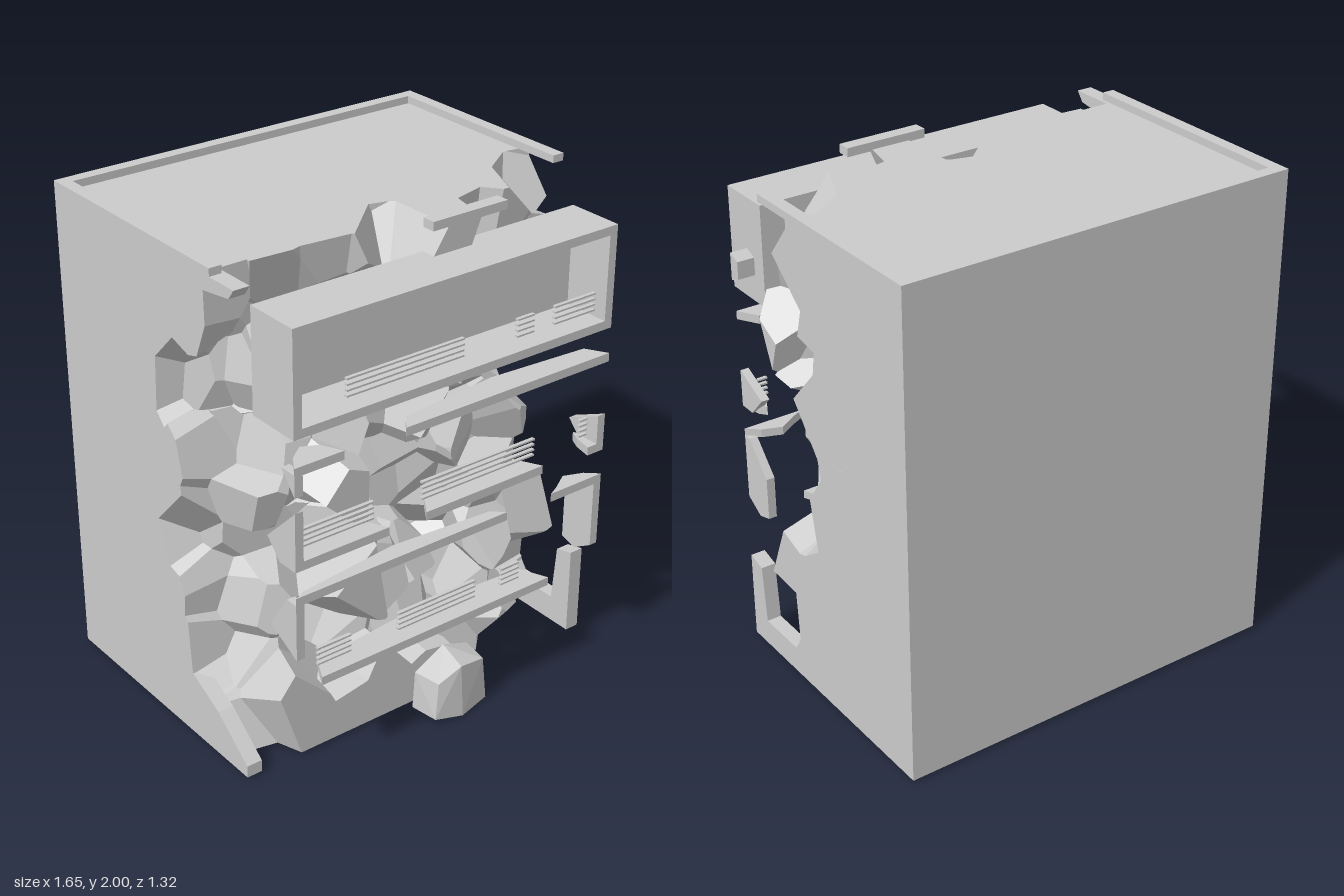
import * as THREE from 'three';
import { mergeGeometries } from 'three/addons/utils/BufferGeometryUtils.js';
import { ConvexGeometry } from 'three/addons/geometries/ConvexGeometry.js';

const V = (x, y, z) => new THREE.Vector3(x, y, z);
const MIN = V(-0.835, 0.01, -0.3), MAX = V(0.82, 1.97, 0.48);

function seeded(seed) {
  return () => (seed = (seed * 16807) % 2147483647) / 2147483647;
}

// Convex cell of one seed: space nearer to it than to its neighbours, cut by the block
function cellGeometry(seed, seeds) {
  const planes = [
    [V(1, 0, 0), MAX.x], [V(-1, 0, 0), -MIN.x], [V(0, 1, 0), MAX.y],
    [V(0, -1, 0), -MIN.y], [V(0, 0, 1), MAX.z], [V(0, 0, -1), -MIN.z],
  ];
  const near = seeds.filter((s) => s !== seed)
    .sort((a, b) => a.distanceToSquared(seed) - b.distanceToSquared(seed)).slice(0, 24);
  for (const s of near) {
    const n = s.clone().sub(seed).normalize();
    planes.push([n, n.dot(s.clone().add(seed).multiplyScalar(0.5))]);
  }
  const points = [];
  const bc = V(0, 0, 0), ca = V(0, 0, 0), ab = V(0, 0, 0);
  for (let i = 0; i < planes.length; i++) for (let j = i + 1; j < planes.length; j++) {
    ab.crossVectors(planes[i][0], planes[j][0]);
    for (let k = j + 1; k < planes.length; k++) {
      const det = ab.dot(planes[k][0]);
      if (Math.abs(det) < 1e-5) continue;
      bc.crossVectors(planes[j][0], planes[k][0]);
      ca.crossVectors(planes[k][0], planes[i][0]);
      const p = bc.clone().multiplyScalar(planes[i][1]).addScaledVector(ca, planes[j][1])
        .addScaledVector(ab, planes[k][1]).divideScalar(det);
      if (planes.every(([n, d]) => n.dot(p) < d + 1e-6)
        && !points.some((q) => q.distanceToSquared(p) < 1e-7)) points.push(p);
    }
  }
  return points.length > 3 ? new ConvexGeometry(points) : null;
}

// How far forward the broken front still stands
function breakDepth(x, y) {
  if (y > 1.74) return x > 0 && x < 0.3 ? 0.38 : x > 0.66 ? 0.22 : 0.3;
  if (x > 0.66) return y < 0.6 ? 0.12 : 0;
  if (x < -0.66) return y < 0.3 ? 0.28 : y > 0.95 && y < 1.3 ? -0.1 : 0.06;
  if (y < 0.25) return 0.41;
  return 0.27 + 0.08 * Math.sin(x * 9 + y * 5) + 0.05 * Math.sin(y * 11 - x * 4);
}

export function createModel() {
  const model = new THREE.Group();
  const material = new THREE.MeshStandardMaterial({ color: 0xcccccc, flatShading: true });

  function add(name, geometry, parent = model) {
    const mesh = new THREE.Mesh(geometry, material);
    mesh.name = name;
    parent.add(mesh);
    return mesh;
  }
  // Box given by its limits
  function box(name, x0, x1, y0, y1, z0, z1, parent) {
    const g = new THREE.BoxGeometry(x1 - x0, y1 - y0, z1 - z0);
    g.translate((x0 + x1) / 2, (y0 + y1) / 2, (z0 + z1) / 2);
    return add(name, g, parent);
  }
  // Flat upright piece with a broken [z, y] outline, from x0 to x1
  function brokenPost(name, x0, x1, outline, parent) {
    const shape = new THREE.Shape(outline.map(([z, y]) => new THREE.Vector2(z, y)));
    const g = new THREE.ExtrudeGeometry(shape, { depth: x1 - x0, bevelEnabled: false });
    g.rotateY(-Math.PI / 2).translate(x1, 0, 0);
    return add(name, g, parent);
  }
  // Flat bar piece with slanting broken ends, from y0 to y1
  function brokenBar(name, x0, x1, y0, y1, zBack, parent) {
    const slant = Math.min(0.05, (x1 - x0) * 0.2);
    const shape = new THREE.Shape([
      [x0, -0.655], [x1, -0.655], [x1 - slant, -(zBack + 0.03)],
      [(x0 + x1) / 2, -zBack], [x0 + slant, -(zBack + 0.05)],
    ].map(([x, y]) => new THREE.Vector2(x, y)));
    const g = new THREE.ExtrudeGeometry(shape, { depth: y1 - y0, bevelEnabled: false });
    g.rotateX(-Math.PI / 2).translate(0, y0, 0);
    return add(name, g, parent);
  }
  // Four thin slats across each span
  function slats(y, spans, parent) {
    for (const [x0, x1] of spans)
      for (let i = 0; i < 4; i++)
        box('slat', x0, x1, y + i * 0.022, y + i * 0.022 + 0.007, 0.59, 0.605, parent);
  }

  // Intact rear of the building and roof rim
  box('buildingBlock', MIN.x, MAX.x, MIN.y, MAX.y, -0.66, MIN.z);
  box('rearRoofRim', MIN.x, MAX.x, 1.97, 2, -0.66, -0.61);
  box('rightRoofRim', MIN.x, -0.785, 1.97, 2, -0.61, 0.34);
  box('leftRoofRim', 0.77, MAX.x, 1.97, 2, -0.61, 0.25);
  box('frontRoofRimPiece', 0, 0.34, 1.965, 2, 0.425, 0.48);

  // Fractured front made of convex chunks
  const random = seeded(4711);
  const seeds = [];
  const jitter = (amount) => (random() - 0.5) * amount;
  for (let i = 0; i < 8; i++) for (let j = 0; j < 9; j++) for (let k = 0; k < 4; k++) {
    seeds.push(V(-0.73 + i * 0.207 + jitter(0.2), 0.12 + j * 0.217 + jitter(0.2),
      -0.14 + k * 0.18 + jitter(0.13)));
  }
  const chunks = seeds.filter((s) => s.z < Math.max(-0.07, breakDepth(s.x, s.y)))
    .map((s) => cellGeometry(s, seeds)).filter(Boolean);
  add('fracturedFront', mergeGeometries(chunks));

  // Whole top balcony box
  const top = new THREE.Group();
  top.name = 'topBalcony';
  model.add(top);
  box('balconyBack', -0.73, 0.72, 1.46, 1.87, 0.42, 0.455, top);
  box('balconyTop', -0.73, 0.72, 1.835, 1.87, 0.455, 0.655, top);
  box('balconyBottom', -0.73, 0.72, 1.46, 1.495, 0.455, 0.655, top);
  box('balconyRightSide', -0.73, -0.695, 1.495, 1.835, 0.455, 0.655, top);
  box('balconyLeftSide', 0.685, 0.72, 1.495, 1.835, 0.455, 0.655, top);
  slats(1.52, [[-0.47, 0.05], [0.3, 0.38], [0.48, 0.68]], top);

  // Remains of the middle balcony
  const middle = new THREE.Group();
  middle.name = 'middleBalcony';
  model.add(middle);
  for (const [x0, x1] of [[-0.73, -0.52], [-0.25, 0.72]])
    brokenBar('topBarPiece', x0, x1, 1.32, 1.355, 0.54, middle);
  for (const [x0, x1] of [[-0.73, -0.32], [-0.15, 0.41], [0.64, 0.72]])
    brokenBar('bottomBarPiece', x0, x1, 0.945, 0.98, 0.53, middle);
  brokenPost('rightPostPiece', -0.73, -0.695,
    [[0.655, 0.945], [0.655, 1.18], [0.49, 1.02], [0.56, 0.945]], middle);
  brokenPost('rightPostTip', -0.73, -0.695, [[0.655, 1.24], [0.655, 1.33], [0.58, 1.33]], middle);
  brokenPost('leftPostPiece', 0.685, 0.72,
    [[0.655, 0.945], [0.655, 1.1], [0.5, 1.03], [0.58, 0.945]], middle);
  slats(1.0, [[-0.69, -0.35], [-0.13, 0.41], [0.64, 0.68]], middle);

  // Remains of the lower balcony
  const lower = new THREE.Group();
  lower.name = 'lowerBalcony';
  model.add(lower);
  for (const [x0, x1] of [[-0.73, 0.24], [0.46, 0.72]])
    brokenBar('topBarPiece', x0, x1, 0.805, 0.84, 0.58, lower);
  brokenBar('bottomBarPiece', -0.62, 0.47, 0.43, 0.465, 0.51, lower);
  brokenPost('rightPostPiece', -0.73, -0.695,
    [[0.655, 0.58], [0.655, 0.81], [0.6, 0.81], [0.5, 0.66]], lower);
  brokenPost('leftPostPiece', 0.685, 0.72,
    [[0.655, 0.53], [0.655, 0.81], [0.62, 0.81], [0.5, 0.68], [0.5, 0.5], [0.57, 0.48]], lower);
  slats(0.48, [[-0.6, -0.45], [-0.23, 0.14], [0.27, 0.36]], lower);

  // Loose chunk on the ground
  add('groundChunk', new ConvexGeometry([
    V(-0.07, 0, 0.5), V(0.19, 0, 0.5), V(0.2, 0, 0.62), V(0.05, 0, 0.66), V(-0.07, 0.02, 0.64),
    V(-0.06, 0.16, 0.5), V(0.06, 0.25, 0.52), V(0.2, 0.19, 0.5), V(0.17, 0.2, 0.63),
    V(0.04, 0.23, 0.655), V(-0.05, 0.17, 0.63),
  ]));

  // Wall shards left standing at the corners
  brokenPost('leftCornerShard', 0.76, MAX.x, [[0.1, 0.01], [0.48, 0.01], [0.48, 0.38],
    [0.4, 0.36], [0.38, 0.12], [0.16, 0.12], [0.1, 0.2]]);
  brokenPost('rightCornerShard', MIN.x, -0.77,
    [[0.1, 0.01], [0.48, 0.01], [0.48, 0.06], [0.3, 0.2], [0.1, 0.3]]);
  brokenPost('rightRoofShard', MIN.x, -0.77,
    [[0, 1.8], [0.1, 1.88], [0.45, 1.93], [0.48, 1.97], [0, 1.97]]);
  brokenPost('upperWallShard', 0.75, MAX.x,
    [[0.48, 1.58], [0.48, 1.69], [0.43, 1.67], [0.43, 1.6]]);
  return model;
}
